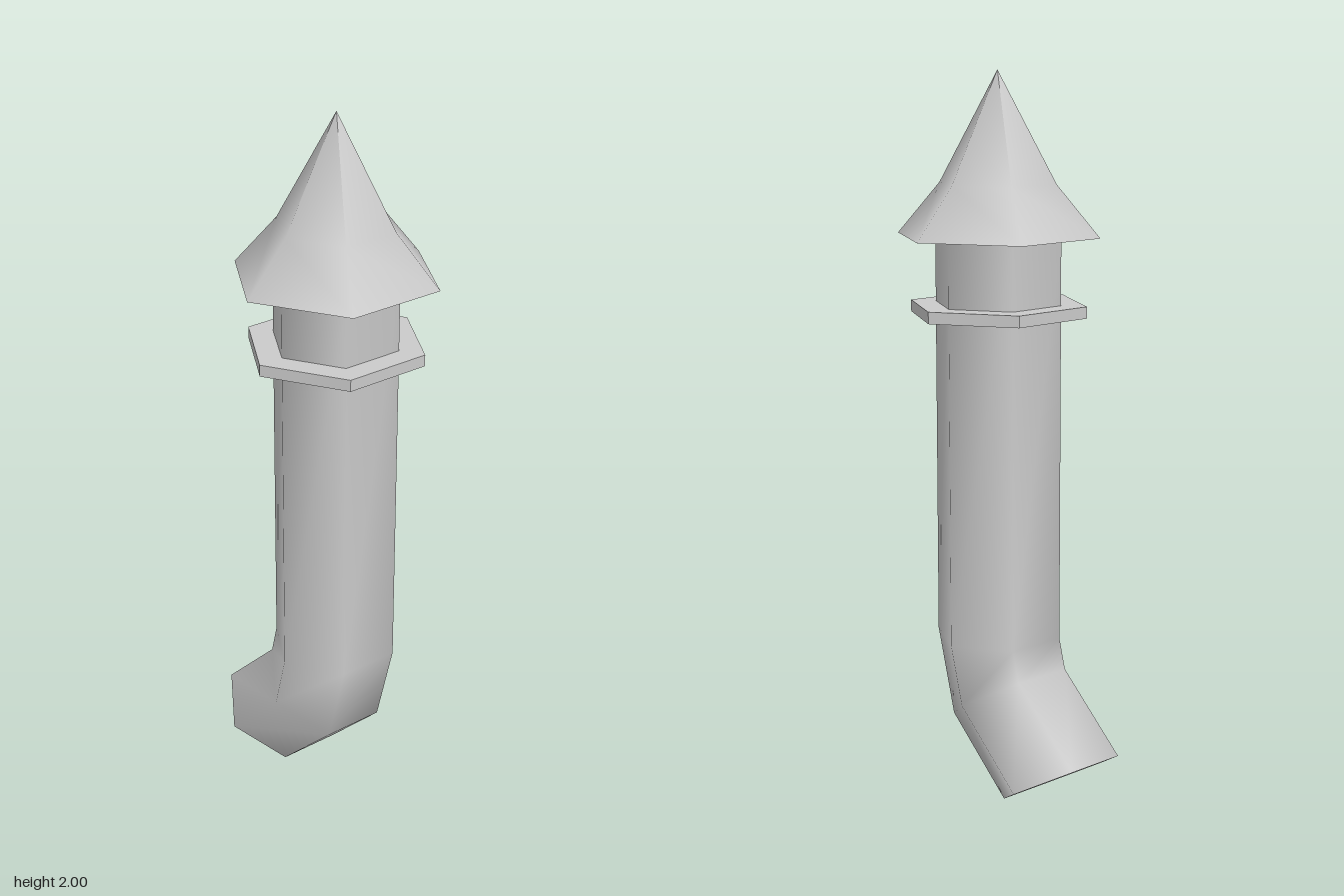
import * as THREE from 'three';

const SIDES = 6;
const AXIS_X = 0.059;          // x of the upright pipe's axis
const TURN = Math.PI / 4;      // turn of the hexagons about the axis
const PIPE_R = 0.178;

// Directions across the bend: towards the outlet, and sideways
const BEND = THREE.MathUtils.degToRad(195);
const out = new THREE.Vector3(Math.cos(BEND), 0, Math.sin(BEND));
const side = new THREE.Vector3(out.x * Math.tan(Math.PI / 12) * 1, 0, -out.x);

// Hexagonal ring, shifted along the bend and tilted towards it
function ring({ shift, y, tilt }) {
  const across = out.clone().multiplyScalar(Math.cos(tilt));
  across.y = Math.sin(tilt);
  return Array.from({ length: SIDES }, (_, k) => {
    const a = ((k + 0.5) / SIDES) * Math.PI * 2;
    return new THREE.Vector3(AXIS_X, y, 0)
      .addScaledVector(out, shift)
      .addScaledVector(across, PIPE_R * Math.cos(a))
      .addScaledVector(side, PIPE_R * Math.sin(a));
  });
}

// Skin over a list of rings, lowest first
function pipeGeometry(sections) {
  const rings = sections.map(ring);
  const points = rings.flat();
  const index = [];
  for (let i = 0; i < rings.length - 1; i++) {
    for (let k = 0; k < SIDES; k++) {
      const n = (k + 1) % SIDES;
      const a = i * SIDES + k, b = i * SIDES + n;
      index.push(a, b, b + SIDES, a, b + SIDES, a + SIDES);
    }
  }
  // Closed outlet, with its own corners to keep the edge sharp
  const base = points.length;
  points.push(...rings[0].map((p) => p.clone()));
  for (let k = 1; k < SIDES - 1; k++) index.push(base, base + k + 1, base + k);

  const geometry = new THREE.BufferGeometry().setFromPoints(points);
  geometry.setIndex(index);
  geometry.computeVertexNormals();
  return geometry;
}

export function createModel() {
  const group = new THREE.Group();
  const smooth = new THREE.MeshStandardMaterial({ color: 0xcccccc });
  const flat = new THREE.MeshStandardMaterial({ color: 0xcccccc, flatShading: true });

  const add = (name, geometry, material, x = 0, y = 0) => {
    const mesh = new THREE.Mesh(geometry, material);
    mesh.name = name;
    mesh.position.set(x, y, 0);
    group.add(mesh);
  };

  // Upright pipe with the elbow at its foot
  const tilt = Math.PI / 6;
  add('bentPipe', pipeGeometry([
    { shift: 0.251, y: 0.08, tilt },
    { shift: 0.043, y: 0.278, tilt },
    { shift: 0, y: 0.44, tilt: 0 },
    { shift: 0, y: 1.56, tilt: 0 },
  ]), smooth);

  // Thin collar around the pipe
  add('collar', new THREE.CylinderGeometry(0.25, 0.25, 0.032, SIDES, 1, false, TURN), flat, AXIS_X, 1.36);

  // Flared, pointed rain cap and its flat underside
  const profile = [[0.286, 1.56], [0.165, 1.7], [0, 2]].map(([r, y]) => new THREE.Vector2(r, y));
  add('rainCap', new THREE.LatheGeometry(profile, SIDES, TURN), smooth, AXIS_X);
  const underside = [[0, 1.56], [0.286, 1.56]].map(([r, y]) => new THREE.Vector2(r, y));
  add('rainCapUnderside', new THREE.LatheGeometry(underside, SIDES, TURN), flat, AXIS_X);

  return group;
}
